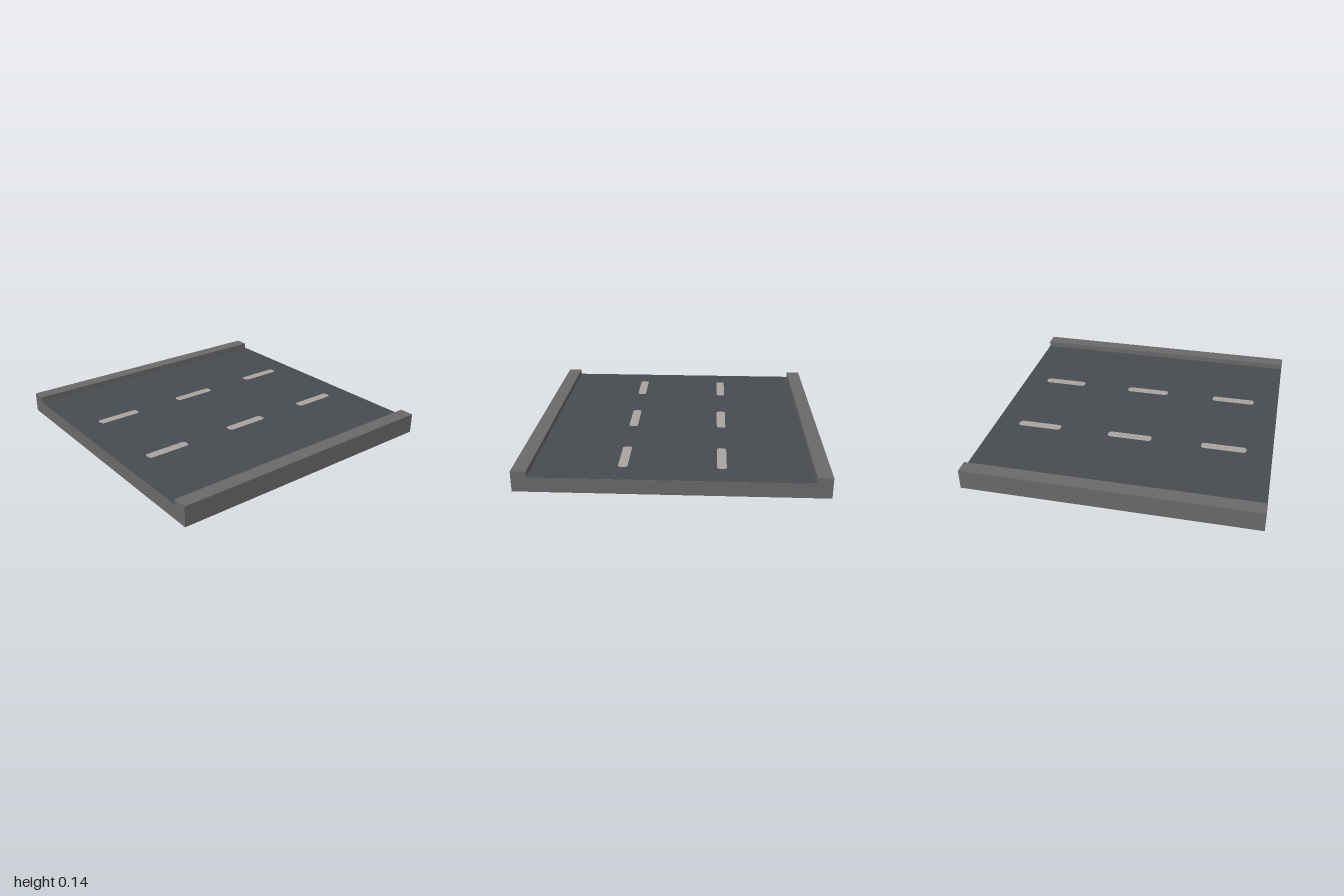
import * as THREE from 'three';

const concrete = new THREE.MeshStandardMaterial({ name: 'concrete grey', color: 0x6a6a6a });
const asphalt = new THREE.MeshStandardMaterial({ name: 'asphalt', color: 0x484b51 });
const paint = new THREE.MeshStandardMaterial({ name: 'lane paint', color: 0xa8a5a1 });

const FLOOR = 0.1, CURB = 0.14, INNER = 0.9;

function addMesh(group, name, geometry, material) {
  const mesh = new THREE.Mesh(geometry, material);
  mesh.name = name;
  group.add(mesh);
  return mesh;
}

// Flat lane dash with clipped corners, facing up
function dashGeometry(width, length, cut) {
  const w = width / 2, l = length / 2;
  const points = [
    [-w + cut, -l], [w - cut, -l], [w, -l + cut], [w, l - cut],
    [w - cut, l], [-w + cut, l], [-w, l - cut], [-w, -l + cut],
  ].map(([x, y]) => new THREE.Vector2(x, y));
  return new THREE.ShapeGeometry(new THREE.Shape(points)).rotateX(-Math.PI / 2);
}

export function createModel() {
  const group = new THREE.Group();
  group.name = 'roadSegment';

  // Slab with a raised curb along each side, extruded along z
  const profile = new THREE.Shape([
    [-1, 0], [1, 0], [1, CURB], [INNER, CURB],
    [INNER, FLOOR], [-INNER, FLOOR], [-INNER, CURB], [-1, CURB],
  ].map(([x, y]) => new THREE.Vector2(x, y)));
  const slab = new THREE.ExtrudeGeometry(profile, { depth: 2, bevelEnabled: false });
  addMesh(group, 'slabWithCurbs', slab.translate(0, 0, -1), concrete);

  // Asphalt surface between the curbs
  const surface = new THREE.PlaneGeometry(INNER * 2, 2).rotateX(-Math.PI / 2);
  addMesh(group, 'roadSurface', surface, asphalt).position.y = FLOOR + 0.001;

  // Two rows of lane dashes
  const dash = dashGeometry(0.062, 0.314, 0.014);
  for (const x of [-0.32, 0.318]) {
    for (const z of [-0.673, -0.005, 0.663]) {
      addMesh(group, 'laneDash', dash, paint).position.set(x, FLOOR + 0.003, z);
    }
  }
  return group;
}
